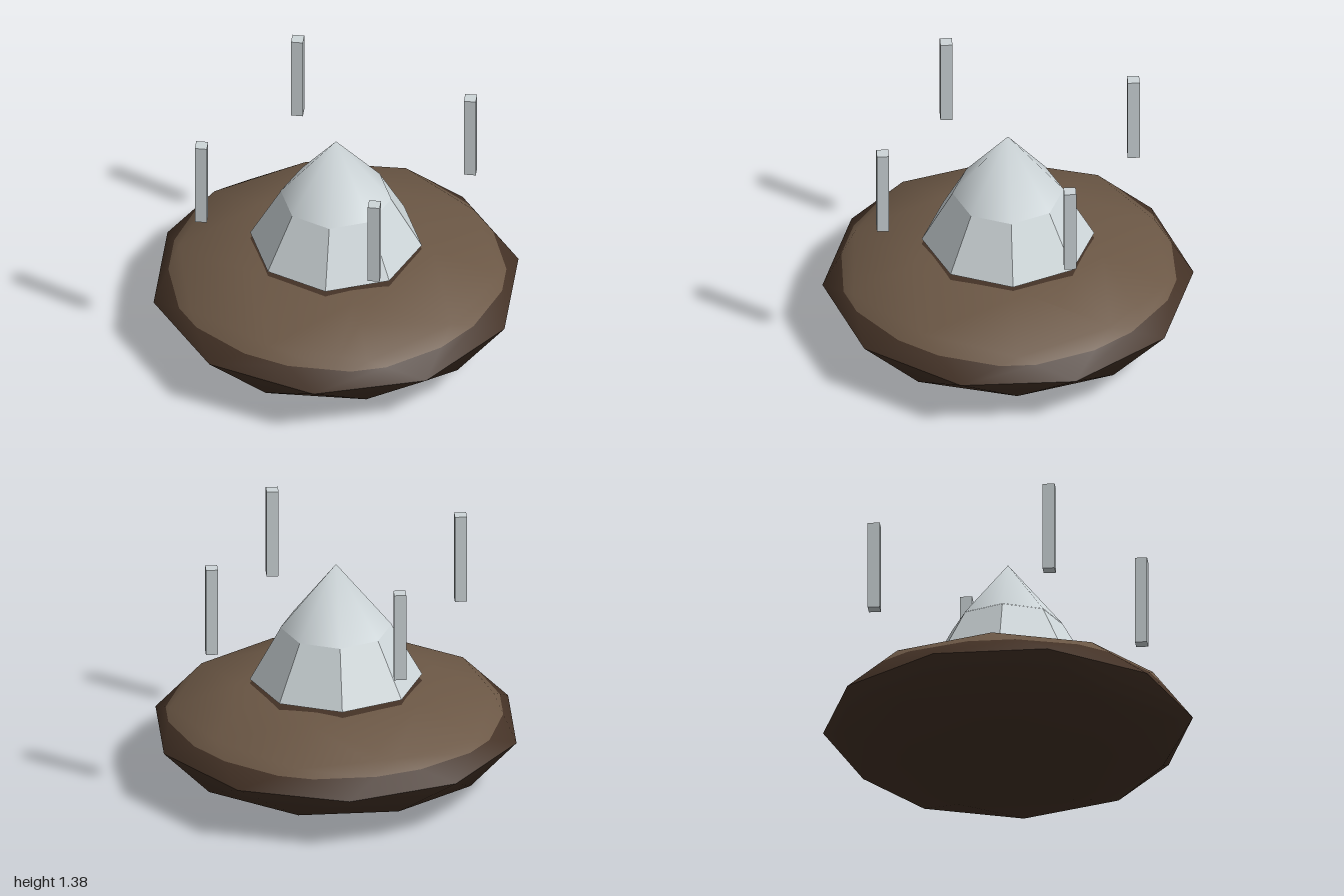
import * as THREE from 'three';
import { mergeVertices } from 'three/addons/utils/BufferGeometryUtils.js';

const lightBrown = new THREE.MeshStandardMaterial({ name: 'lightBrown', color: 0x6b5745 });
const darkBrown = new THREE.MeshStandardMaterial({ name: 'darkBrown', color: 0x443226 });
const paleGrey = new THREE.MeshStandardMaterial({ name: 'paleGrey', color: 0xced6d9 });

const MID = 0.3;          // height of the rim
const TOWER_R = 0.465;    // corner radius of the tower foot
const BAND_Y = 0.392;     // where the dark rim meets the light top

// Upper half of a flattened, once-divided icosahedron, centred on the rim plane
function halfHull() {
  const pos = [0, MID, 0];
  const ring = (count, start, shape) => {
    for (let j = 0; j < count; j++) {
      const a = start + (j * Math.PI * 2) / count, [r, y] = shape(j);
      pos.push(r * Math.cos(a), y * MID, -r * Math.sin(a));
    }
  };
  ring(5, 0, () => [0.526, 0.851]);
  ring(10, 0, j => (j % 2 ? [0.851, 0.526] : [0.894, 0.447]));
  ring(10, Math.PI / 10, () => [1, 0]);
  const inner = k => 1 + (k % 5), outer = j => 6 + (j % 10), rim = j => 16 + (j % 10);
  const index = [];
  for (let k = 0; k < 5; k++) {
    const mid = outer(2 * k + 1);
    index.push(0, inner(k), inner(k + 1), inner(k), outer(2 * k), mid);
    index.push(inner(k), mid, inner(k + 1), inner(k + 1), mid, outer(2 * k + 2));
  }
  for (let j = 0; j < 10; j++) {
    index.push(outer(j), rim(j), outer(j + 1), rim(j), rim(j + 1), outer(j + 1));
  }
  const g = new THREE.BufferGeometry();
  g.setAttribute('position', new THREE.Float32BufferAttribute(pos, 3));
  g.setIndex(index);
  g.computeVertexNormals();
  return g;
}

// Cut a polygon of {p, n} corners by a plane: [part in front, part behind]
function split(poly, plane) {
  const front = [], back = [];
  poly.forEach((a, i) => {
    const b = poly[(i + 1) % poly.length];
    const da = plane.distanceToPoint(a.p), db = plane.distanceToPoint(b.p);
    (da >= 0 ? front : back).push(a);
    if (da >= 0 !== db >= 0) {
      const t = da / (da - db);
      const c = { p: a.p.clone().lerp(b.p, t), n: a.n.clone().lerp(b.n, t).normalize() };
      front.push(c);
      back.push(c);
    }
  });
  return [front, back];
}

function polygonsToGeometry(polys) {
  const pos = [], nor = [];
  for (const poly of polys) {
    for (let i = 1; i < poly.length - 1; i++) {
      for (const v of [poly[0], poly[i], poly[i + 1]]) {
        pos.push(...v.p.toArray());
        nor.push(...v.n.toArray());
      }
    }
  }
  const g = new THREE.BufferGeometry();
  g.setAttribute('position', new THREE.Float32BufferAttribute(pos, 3));
  g.setAttribute('normal', new THREE.Float32BufferAttribute(nor, 3));
  return g;
}

// Light top between the dark rim and the dark patch beneath the tower
function splitUpperHull(half) {
  const light = [], dark = [];
  const bandPlane = new THREE.Plane(new THREE.Vector3(0, 1, 0), MID - BAND_Y);
  const sides = Array.from({ length: 8 }, (_, i) => {
    const a = ((i + 0.5) * Math.PI) / 4;
    return new THREE.Plane(new THREE.Vector3(Math.cos(a), 0, Math.sin(a)), -TOWER_R * Math.cos(Math.PI / 8));
  });
  const { position, normal } = half.attributes, index = half.index;
  const corner = i => ({
    p: new THREE.Vector3().fromBufferAttribute(position, i),
    n: new THREE.Vector3().fromBufferAttribute(normal, i),
  });
  for (let f = 0; f < index.count; f += 3) {
    const tri = [0, 1, 2].map(i => corner(index.getX(f + i)));
    let [rest, below] = split(tri, bandPlane);
    dark.push(below);
    for (const side of sides) {
      const [outside, inside] = split(rest, side);
      light.push(outside);
      rest = inside;
    }
    dark.push(rest);
  }
  return [polygonsToGeometry(light), polygonsToGeometry(dark)];
}

export function createModel() {
  const model = new THREE.Group();
  const add = (name, geometry, material, x, y, z) => {
    const mesh = new THREE.Mesh(geometry, material);
    mesh.name = name;
    mesh.position.set(x, y, z);
    model.add(mesh);
    return mesh;
  };

  // Saucer hull
  const half = halfHull();
  const [top, rim] = splitUpperHull(half);
  add('hullTop', top, lightBrown, 0, MID, 0);
  add('hullRim', rim, darkBrown, 0, MID, 0);
  add('hullUnderside', half, darkBrown, 0, MID, 0).rotation.z = Math.PI;

  // Faceted tower
  const tower = new THREE.CylinderGeometry(0.298, TOWER_R, 0.3, 8).toNonIndexed();
  tower.computeVertexNormals();
  add('tower', tower, paleGrey, 0, 0.735, 0);

  // Smooth-shaded pointed roof with one shared tip
  let roof = new THREE.ConeGeometry(0.3, 0.365, 8, 1, true);
  roof.deleteAttribute('uv');
  roof.deleteAttribute('normal');
  roof = mergeVertices(roof);
  roof.computeVertexNormals();
  add('roof', roof, paleGrey, 0, 1.0675, 0);

  // Four floating posts
  const post = new THREE.BoxGeometry(0.065, 0.5, 0.065);
  for (const [x, z] of [[0.693, -0.293], [0.293, 0.693], [-0.693, 0.293], [-0.293, -0.693]]) {
    add('post', post, paleGrey, x, 1.135, z);
  }
  return model;
}
